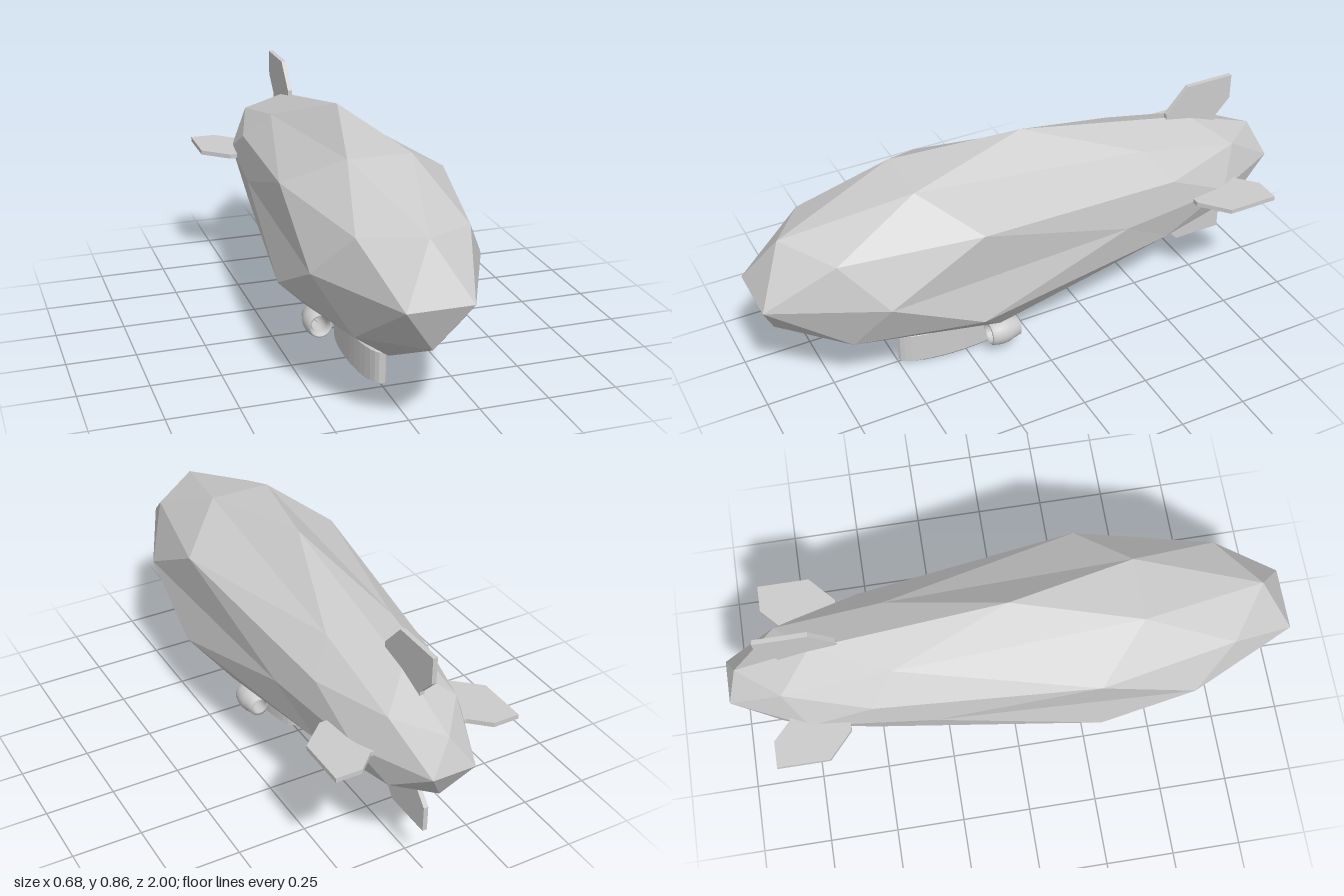
import * as THREE from 'three';

const flat = () => new THREE.MeshStandardMaterial({ color: 0xcccccc, flatShading: true });
const smooth = () => new THREE.MeshStandardMaterial({ color: 0xcccccc, side: THREE.DoubleSide });
const AXIS_Y = 0.5;

function named(geometry, material, name) {
  const mesh = new THREE.Mesh(geometry, material);
  mesh.name = name;
  return mesh;
}

// Faceted envelope: a stretched icosphere whose rear half tapers to the tail
function hull() {
  const g = new THREE.IcosahedronGeometry(1, 1);
  g.rotateX(Math.atan((1 + Math.sqrt(5)) / 2)); // a vertex points straight up
  const p = g.attributes.position;
  const v = new THREE.Vector3();
  for (let i = 0; i < p.count; i++) {
    v.fromBufferAttribute(p, i);
    const pole = Math.abs(v.y) > 0.99;
    const keel = v.y < -0.8 && v.z > 0.4; // flat belly above the cabin
    v.multiply(new THREE.Vector3(0.36, 0.36, 1.0515));
    if (v.z < 0.01 && !pole) {
      v.multiplyScalar(0.7);
      v.z -= 0.3;
    }
    if (keel) v.y = -0.36;
    p.setXYZ(i, v.x, v.y + AXIS_Y, v.z);
  }
  g.computeVertexNormals();
  return named(g, flat(), 'hull');
}

// Fin outline: x runs outward from the hull axis, y runs along the hull
function finGeometry() {
  const outline = [[0.1, -0.8], [0.18, -0.8], [0.245, -0.86], [0.34, -0.86],
    [0.34, -0.675], [0.245, -0.59], [0.18, -0.59], [0.1, -0.66]];
  const shape = new THREE.Shape(outline.map(([x, y]) => new THREE.Vector2(x, y)));
  const g = new THREE.ExtrudeGeometry(shape, { depth: 0.017, bevelEnabled: false });
  g.translate(0, 0, -0.0085);
  g.rotateX(Math.PI / 2);
  return g;
}

// Elliptical cabin with small bevels
function cabin() {
  const profile = [[0, 0], [0.88, 0], [1, 0.01], [1, 0.126], [0.95, 0.13], [0, 0.13]];
  const g = new THREE.LatheGeometry(profile.map(([x, y]) => new THREE.Vector2(x, y)), 32);
  g.scale(0.057, 1, 0.238);
  g.translate(0, 0, 0.26);
  return named(g, flat(), 'cabin');
}

// Open ducted engine with a slim hub
function engine(side) {
  const group = new THREE.Group();
  group.name = side > 0 ? 'leftEngine' : 'rightEngine';
  const profile = [[0.028, -0.058], [0.037, -0.058], [0.043, -0.03], [0.049, -0.012],
    [0.051, 0.01], [0.049, 0.035], [0.044, 0.055], [0.038, 0.058], [0.034, 0.05],
    [0.028, 0.035], [0.028, -0.058]];
  const duct = new THREE.LatheGeometry(profile.map(([x, y]) => new THREE.Vector2(x, y)), 24);
  const hub = new THREE.CylinderGeometry(0.003, 0.005, 0.03, 10);
  for (const g of [duct, hub]) g.rotateX(Math.PI / 2);
  group.add(named(duct, smooth(), 'duct'), named(hub, smooth(), 'hub'));
  group.position.set(side * 0.122, 0.105, 0.133);
  return group;
}

export function createModel() {
  const model = new THREE.Group();
  model.name = 'airship';
  model.add(hull(), cabin(), engine(1), engine(-1));

  // Four tail fins around the hull axis
  const fin = finGeometry();
  ['leftFin', 'topFin', 'rightFin', 'bottomFin'].forEach((name, i) => {
    const mesh = named(fin, flat(), name);
    mesh.position.y = AXIS_Y + 0.005;
    mesh.rotation.z = i * Math.PI / 2;
    model.add(mesh);
  });
  return model;
}
